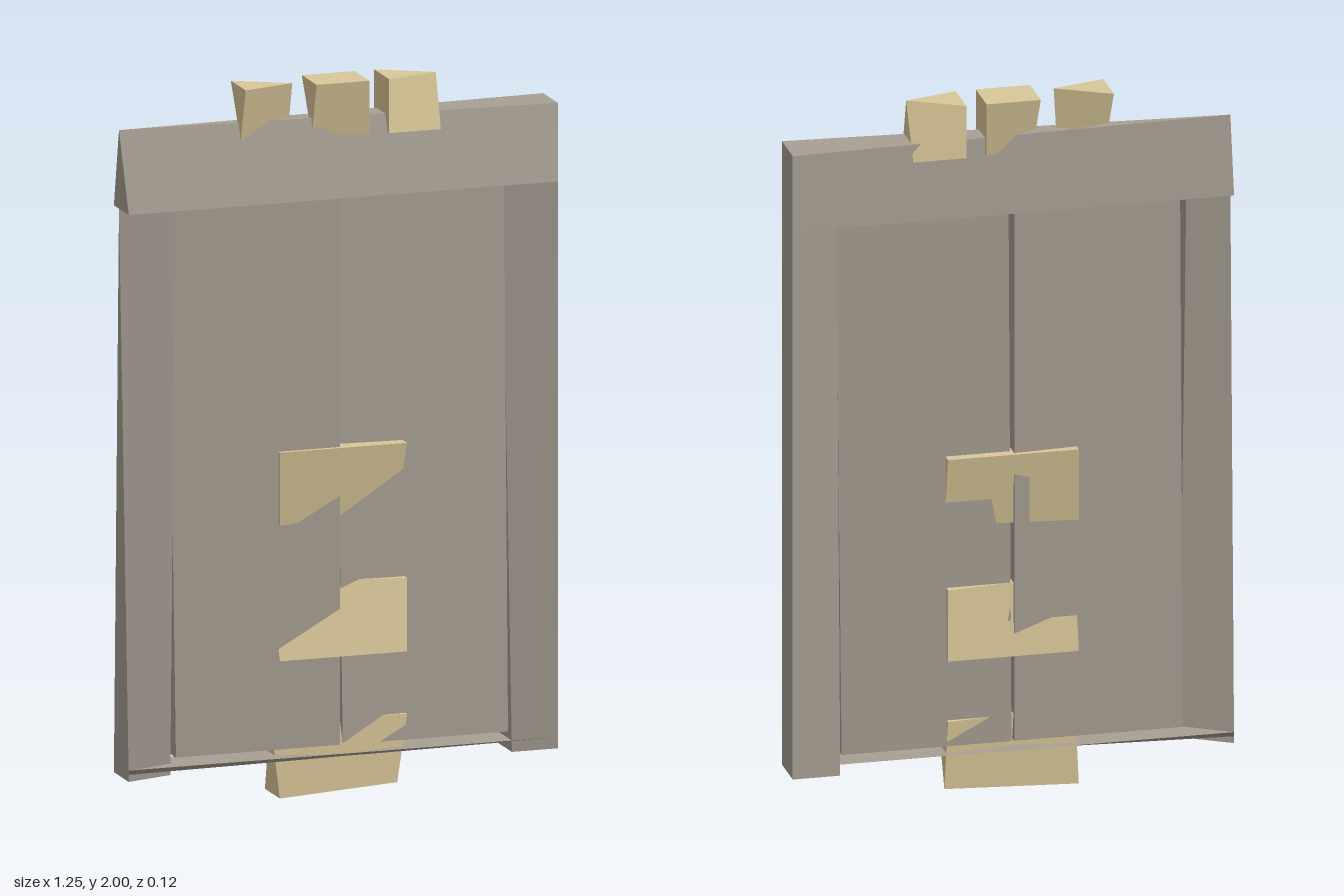
import * as THREE from 'three';

const stone = new THREE.MeshStandardMaterial({ color: 0xa89f94 });
const tan = new THREE.MeshStandardMaterial({ color: 0xdac899 });

// Box of half depth d; a corner named in pinch (bl, br, tl, tr) has its
// front and back points joined at the given z, which makes a chipped wedge.
function slab(name, material, [x0, x1], [y0, y1], d, pinch = {}) {
  const geometry = new THREE.BoxGeometry(x1 - x0, y1 - y0, 2 * d);
  const p = geometry.attributes.position;
  for (let i = 0; i < p.count; i++) {
    const corner = (p.getY(i) > 0 ? 't' : 'b') + (p.getX(i) > 0 ? 'r' : 'l');
    if (corner in pinch) p.setZ(i, pinch[corner]);
  }
  // One even normal per side, from the side's two diagonals
  const point = (i) => new THREE.Vector3().fromBufferAttribute(p, i);
  for (let i = 0; i < p.count; i += 4) {
    const n = point(i + 1).sub(point(i + 2)).cross(point(i).sub(point(i + 3))).normalize();
    for (let k = 0; k < 4; k++) geometry.attributes.normal.setXYZ(i + k, -n.x, -n.y, -n.z);
  }
  const mesh = new THREE.Mesh(geometry, material);
  mesh.position.set((x0 + x1) / 2, (y0 + y1) / 2, 0);
  mesh.name = name;
  return mesh;
}

export function createModel() {
  const model = new THREE.Group();
  model.name = 'gate';
  const D = 0.0625;

  // Frame
  model.add(
    slab('lintel', stone, [-0.623, 0.622], [1.675, 1.896], D, { tl: -0.02 }),
    slab('rightPost', stone, [-0.623, -0.488], [0.08, 1.675], D, { tl: -0.02, br: 0.02 }),
    slab('leftPost', stone, [0.488, 0.622], [0.08, 1.675], D, { tl: -0.02 }),
    slab('sill', stone, [-0.623, 0.622], [0.1, 0.112], D, { br: 0.02 })
  );

  // Pair of door leaves with a narrow gap
  model.add(
    slab('rightDoor', stone, [-0.482, -0.006], [0.135, 1.675], 0.05, { tl: -0.017 }),
    slab('leftDoor', stone, [0.002, 0.481], [0.135, 1.675], 0.05, { tl: -0.017, tr: 0.017 })
  );

  // Plates across the doors
  const wide = [-0.185, 0.184];
  model.add(
    slab('upperPlate', tan, wide, [0.768, 0.973], D, { br: -0.02 }),
    slab('middlePlate', tan, wide, [0.386, 0.593], D, { tl: -0.02 }),
    slab('lowerPlate', tan, wide, [0, 0.21], D, { tl: -0.02, br: -0.02 })
  );

  // Blocks on top of the lintel
  const tall = [1.848, 2];
  model.add(
    slab('rightBlock', tan, [-0.284, -0.134], tall, D, { tr: 0.02, bl: 0.02, br: -0.02 }),
    slab('middleBlock', tan, [-0.078, 0.075], tall, D, { bl: 0.02 }),
    slab('leftBlock', tan, [0.132, 0.282], tall, D, { tr: 0.02 })
  );
  return model;
}
